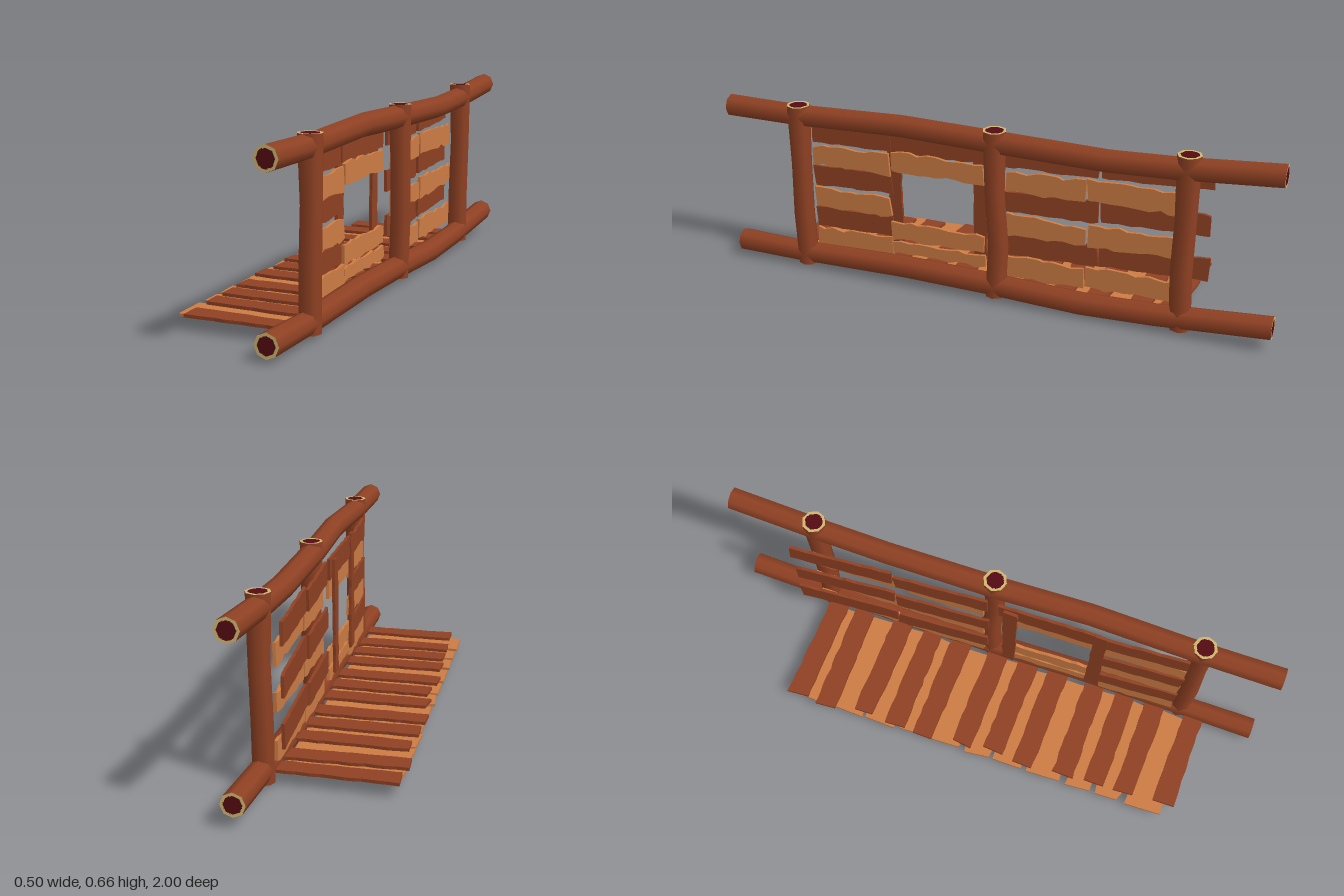
import * as THREE from 'three';

const mat = (name, color, side = THREE.FrontSide) => {
  const m = new THREE.MeshStandardMaterial({ color, side });
  m.name = name;
  return m;
};

let seed = 7;
const rnd = () => {
  seed = (seed * 16807) % 2147483647;
  return seed / 2147483647 - 0.5; // -0.5 .. 0.5
};

export function createModel() {
  const root = new THREE.Group();
  const bark = mat('bark brown', 0x8f4123);
  const light = mat('light plank', 0xcd7c44);
  const cream = mat('cut wood cream', 0xd0b672);
  const core = mat('heartwood red', 0x540b12);

  // Round eight-sided log through keys [x, y, z, radius], with ringed cut ends
  function log(name, keys, alongZ) {
    const g = new THREE.Group();
    g.name = name;
    const n = keys.length - 1;
    const geo = new THREE.CylinderGeometry(1, 1, 1, 8, n, true);
    if (alongZ) geo.rotateX(Math.PI / 2);
    const p = geo.attributes.position;
    for (let i = 0; i < p.count; i++) {
      const along = alongZ ? p.getZ(i) : p.getY(i);
      const [x, y, z, r] = keys[Math.round((along + 0.5) * n)];
      if (alongZ) p.setXYZ(i, x + p.getX(i) * r, y + p.getY(i) * r, z);
      else p.setXYZ(i, x + p.getX(i) * r, y, z + p.getZ(i) * r);
    }
    g.add(new THREE.Mesh(geo, bark));
    g.children[0].name = name + 'Bark';
    for (const end of [0, n]) {
      const [x, y, z, r] = keys[end];
      const cap = new THREE.Group();
      cap.name = name + 'CutEnd';
      const ring = new THREE.Mesh(new THREE.RingGeometry(r * 0.74, r, 8, 1, Math.PI / 2), cream);
      const disc = new THREE.Mesh(new THREE.CircleGeometry(r * 0.75, 16), core);
      ring.name = 'cutRing';
      disc.name = 'heartwood';
      cap.add(ring, disc);
      cap.position.set(x, y, z);
      if (alongZ) cap.rotation.y = end ? 0 : Math.PI;
      else cap.rotation.x = end ? -Math.PI / 2 : Math.PI / 2;
      g.add(cap);
    }
    root.add(g);
  }

  // Board lying along local x, with ragged edges and ends
  function board(name, material, length, width, thick, rag) {
    const steps = Math.max(5, Math.round(length / 0.035));
    const pts = [];
    const taper = rnd() * rag * 1.2;
    for (const s of [-1, 1]) {
      for (let i = 0; i <= steps; i++) {
        const t = (i / steps - 0.5) * -s;
        const u = t * length + (i > 0 && i < steps ? rnd() * 0.02 : rnd() * 0.012);
        pts.push(new THREE.Vector2(u, s * (width / 2 + t * taper) + rnd() * rag));
      }
    }
    const geo = new THREE.ExtrudeGeometry(new THREE.Shape(pts), { depth: thick, bevelEnabled: false });
    geo.translate(0, 0, -thick / 2);
    const m = new THREE.Mesh(geo, material);
    m.name = name;
    root.add(m);
    return m;
  }

  // Horizontal wall board between [x, z] points a and b at height y
  function wallBoard(name, material, a, b, y, width, rag) {
    const dx = b[0] - a[0], dz = b[1] - a[1];
    const m = board(name, material, Math.hypot(dx, dz), width, 0.011, rag);
    m.position.set((a[0] + b[0]) / 2, y, (a[1] + b[1]) / 2);
    m.rotation.set(0, Math.atan2(-dz, dx), rnd() * 0.025);
  }

  // Rails
  log('topRail', [
    [0.203, 0.624, -1, 0.041], [0.2, 0.598, -0.66, 0.041], [0.198, 0.588, -0.42, 0.041],
    [0.195, 0.598, 0, 0.042], [0.2, 0.61, 0.32, 0.041], [0.195, 0.596, 0.72, 0.04], [0.193, 0.599, 1, 0.041],
  ], true);
  log('bottomRail', [
    [0.203, 0.084, -1, 0.041], [0.202, 0.055, -0.6, 0.04], [0.2, 0.046, -0.34, 0.041],
    [0.196, 0.058, 0, 0.041], [0.198, 0.066, 0.32, 0.041], [0.193, 0.055, 0.76, 0.039], [0.189, 0.058, 1, 0.041],
  ], true);

  // Posts
  const posts = [[0.72, 0.637, 0.005], [-0.025, 0.642, -0.012], [-0.69, 0.65, 0.006]];
  for (const [z, top, bow] of posts) {
    log('post', [
      [0.197, 0.02, z, 0.038], [0.2, 0.22, z + bow, 0.038],
      [0.203, 0.42, z, 0.037], [0.2, top, z, 0.042],
    ], false);
  }

  // Floor: dark boards on top, [z, outer x]
  const floor = [
    [-0.65, -0.24], [-0.54, -0.25], [-0.39, -0.225], [-0.265, -0.235], [-0.15, -0.24], [0, -0.225],
    [0.12, -0.21], [0.24, -0.228], [0.39, -0.21], [0.51, -0.205], [0.625, -0.205], [0.775, -0.195],
  ];
  floor.forEach(([z, x], i) => {
    const m = board('floorBoard', bark, 0.16 - x, 0.076, 0.011, 0.006);
    m.position.set((0.16 + x) / 2, 0.053, z);
    m.rotation.set(-Math.PI / 2, 0, -0.03 + rnd() * 0.03);
    // Light boards below, bridging the gaps
    if (i === floor.length - 1) return;
    const next = floor[i + 1][0];
    const l = board('lowerFloorBoard', light, 0.39, next - z - 0.022, 0.009, 0.018);
    l.position.set(-0.045, 0.041, (z + next) / 2);
    l.rotation.x = -Math.PI / 2;
  });

  // Wall: dark rows, in three runs that lean away from the posts
  for (const y of [0.53, 0.365, 0.2]) {
    wallBoard('wallBoard', bark, [0.162, 0.69], [0.148, 0.385], y - 0.005, 0.075, 0.007);
    wallBoard('wallBoard', bark, [0.146, -0.03], [0.128, -0.375], y, 0.078, 0.007);
    wallBoard('wallBoard', bark, [0.134, -0.385], [0.111, -0.76], y + 0.008, 0.078, 0.007);
  }
  wallBoard('windowHeader', bark, [0.15, 0.38], [0.146, 0.01], 0.53, 0.08, 0.007);

  // Wall: light rows behind them
  for (const y of [0.445, 0.28, 0.12]) {
    wallBoard('lightWallBoard', light, [0.166, 0.69], [0.162, 0.39], y - 0.006, 0.075, 0.014);
    wallBoard('lightWallBoard', light, [0.158, -0.05], [0.154, -0.335], y, 0.075, 0.014);
    wallBoard('lightWallBoard', light, [0.156, -0.345], [0.152, -0.7], y + 0.008, 0.075, 0.014);
  }
  for (const [y, w] of [[0.455, 0.07], [0.188, 0.064], [0.12, 0.045]]) {
    wallBoard('windowLightBoard', light, [0.162, 0.385], [0.157, 0.03], y, w, 0.012);
  }

  // Upright boards at the sides of the window
  for (const [x, z, h, y] of [[0.133, 0.055, 0.435, 0.345], [0.144, 0.378, 0.46, 0.35]]) {
    const m = board('windowJamb', bark, h, 0.05, 0.011, 0.006);
    m.geometry.rotateZ(Math.PI / 2);
    m.position.set(x, y, z);
    m.rotation.y = Math.PI / 2;
  }

  return root;
}
